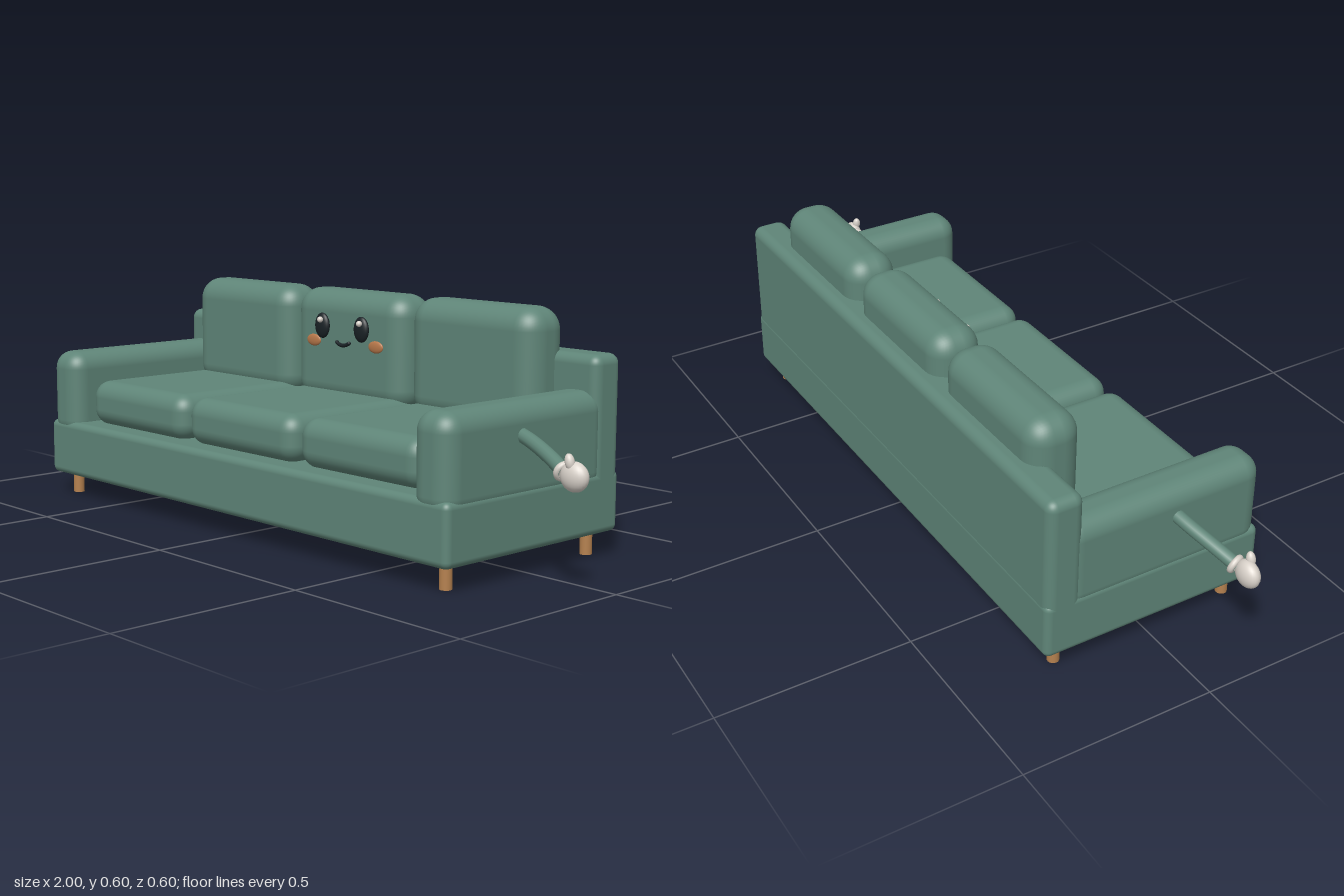
import * as THREE from 'three';
import { RoundedBoxGeometry } from 'three/addons/geometries/RoundedBoxGeometry.js';

const material = (name, color) => {
  const m = new THREE.MeshStandardMaterial({ color });
  m.name = name;
  return m;
};

export function createModel() {
  const fabric = material('green fabric', 0x5f8578);
  const wood = material('light wood', 0xb5814f);
  const white = material('soft white', 0xd9d2ca);
  const black = material('near black', 0x1a2226);
  const blush = material('cheek brown', 0xb8784a);

  const model = new THREE.Group();
  model.name = 'sofa';
  const body = new THREE.Group();
  body.name = 'body';
  body.position.x = -0.003;
  model.add(body);

  const add = (name, geometry, mat, parent = body) => {
    const mesh = new THREE.Mesh(geometry, mat);
    mesh.name = name;
    parent.add(mesh);
    return mesh;
  };
  // Rounded box given by its limits on each axis
  const cushion = (name, [x0, x1], [y0, y1], [z0, z1], radius) => {
    const mesh = add(name, new RoundedBoxGeometry(x1 - x0, y1 - y0, z1 - z0, 5, radius), fabric);
    mesh.position.set((x0 + x1) / 2, (y0 + y1) / 2, (z0 + z1) / 2);
  };
  const ellipsoid = (name, position, radii, mat, parent = body) => {
    const mesh = add(name, new THREE.SphereGeometry(1, 24, 16), mat, parent);
    mesh.position.set(...position);
    mesh.scale.set(...radii);
    return mesh;
  };

  // Frame
  cushion('base', [-0.773, 0.773], [0.058, 0.21], [-0.3, 0.3], 0.018);
  cushion('backrest', [-0.773, 0.773], [0.16, 0.49], [-0.299, -0.204], 0.025);

  // Three seat and back cushions
  for (const i of [-1, 0, 1]) {
    const x = i * 0.434;
    cushion('seatCushion', [x - 0.21, x + 0.21], [0.205, 0.328], [-0.21, 0.255], 0.045);
    cushion('backCushion', [x - 0.21, x + 0.21], [0.29, 0.596], [-0.259, -0.119], 0.058);
  }

  for (const s of [-1, 1]) {
    // Armrest
    cushion('armrest', [s * 0.712 - 0.06, s * 0.712 + 0.06], [0.165, 0.405], [-0.25, 0.3], 0.048);

    // Legs
    for (const z of [-0.245, 0.245]) {
      add('leg', new THREE.CylinderGeometry(0.015, 0.015, 0.08, 20), wood)
        .position.set(s * 0.72, 0.04, z);
    }

    // Eyes with highlights, and cheeks
    ellipsoid('eye', [s * 0.075, 0.502, -0.107], [0.026, 0.034, 0.012], black);
    ellipsoid('eyeHighlight', [s * 0.075 + 0.007, 0.519, -0.092], [0.008, 0.008, 0.008], white);
    ellipsoid('cheek', [s * 0.119, 0.459, -0.117], [0.027, 0.016, 0.006], blush);

    // Curved arm, cuff and mitten hand
    const limb = new THREE.Group();
    limb.name = s > 0 ? 'leftArm' : 'rightArm';
    model.add(limb);
    const path = new THREE.CatmullRomCurve3([
      [0.74, 0.338, 0.048], [0.8, 0.323, 0.06], [0.87, 0.301, 0.081], [0.935, 0.276, 0.104],
    ].map(([x, y, z]) => new THREE.Vector3(s * x, y, z)));
    add('sleeve', new THREE.TubeGeometry(path, 24, 0.017, 14), fabric, limb);
    const cuff = add('cuff', new THREE.TorusGeometry(0.017, 0.008, 10, 24), white, limb);
    cuff.position.copy(path.getPointAt(0.96));
    cuff.quaternion.setFromUnitVectors(new THREE.Vector3(0, 0, 1), path.getTangentAt(0.96));
    ellipsoid('hand', [s * 0.964, 0.273, 0.109], [0.036, 0.034, 0.023], white, limb);
    const thumb = ellipsoid('thumb', [s * 0.958, 0.306, 0.119], [0.011, 0.019, 0.011], white, limb);
    thumb.rotation.z = s * 0.25;
  }

  // Smile
  const smile = new THREE.QuadraticBezierCurve3(
    new THREE.Vector3(-0.023, 0.461, -0.112),
    new THREE.Vector3(0, 0.447, -0.108),
    new THREE.Vector3(0.023, 0.461, -0.112));
  add('mouth', new THREE.TubeGeometry(smile, 16, 0.005, 10), black);
  for (const s of [-1, 1]) ellipsoid('mouthEnd', [s * 0.023, 0.461, -0.112], [0.005, 0.005, 0.005], black);

  return model;
}
